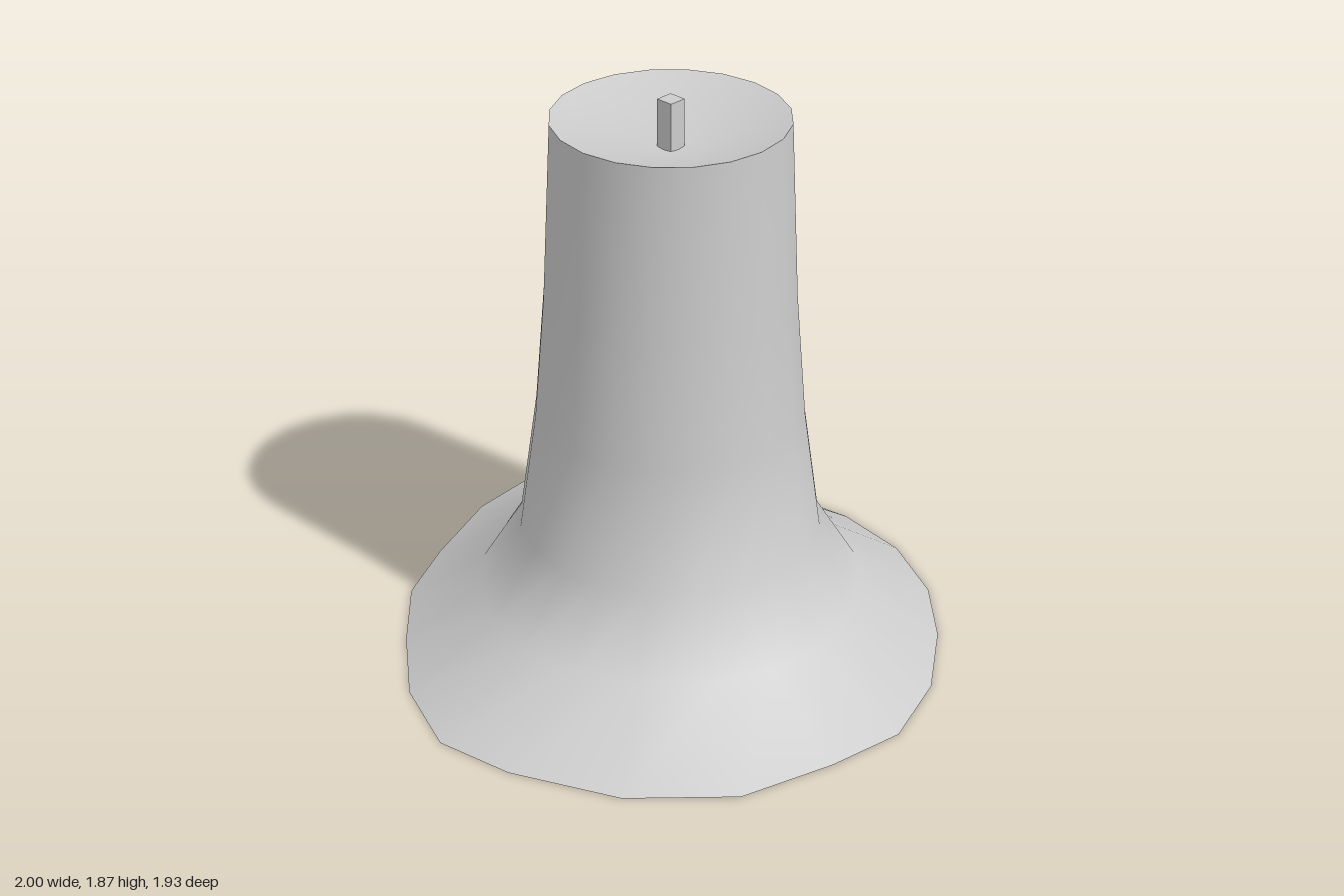
import * as THREE from 'three';

const SIDES = 20;
const CX = -0.005, CZ = -0.08; // axis of the candle

// Irregular outline of the melted wax pool, clockwise from the back (x, z)
const POOL = [
  [0, -0.97], [0.27, -0.93], [0.52, -0.8], [0.72, -0.61], [0.9, -0.36],
  [1, -0.08], [0.96, 0.19], [0.87, 0.51], [0.615, 0.77], [0.27, 0.92],
  [0, 0.96], [-0.28, 0.84], [-0.52, 0.64], [-0.73, 0.43], [-0.85, 0.19],
  [-0.97, -0.12], [-1, -0.44], [-0.87, -0.68], [-0.6, -0.845], [-0.28, -0.93],
];

// Horizontal ring: a circle blended towards the pool outline by "spread"
function ring(y, radius, spread = 0) {
  return POOL.map(([px, pz], i) => {
    const a = (i / SIDES) * Math.PI * 2;
    const x = CX + Math.sin(a) * radius, z = CZ - Math.cos(a) * radius;
    return [x + (px - x) * spread, y, z + (pz - z) * spread];
  });
}

function surface(points, index) {
  const geometry = new THREE.BufferGeometry();
  geometry.setAttribute('position', new THREE.Float32BufferAttribute(points.flat(), 3));
  geometry.setIndex(index);
  geometry.computeVertexNormals();
  return geometry;
}

// Smooth skin through a stack of rings, bottom to top
function loft(rings) {
  const index = [];
  for (let r = 0; r < rings.length - 1; r++) {
    for (let i = 0; i < SIDES; i++) {
      const a = r * SIDES + i, b = r * SIDES + ((i + 1) % SIDES);
      index.push(a, a + SIDES, b, b, a + SIDES, b + SIDES);
    }
  }
  return surface(rings.flat(), index);
}

// Fan from a ring to a centre height
function fan(points, y, faceUp) {
  const index = [];
  for (let i = 0; i < SIDES; i++) {
    const j = (i + 1) % SIDES;
    index.push(...(faceUp ? [j, i, SIDES] : [i, j, SIDES]));
  }
  return surface([...points, [CX, y, CZ]], index);
}

export function createModel() {
  const group = new THREE.Group();
  group.name = 'candle';
  const material = new THREE.MeshStandardMaterial({ color: 0xcccccc });
  const add = (name, geometry) => {
    const mesh = new THREE.Mesh(geometry, material);
    mesh.name = name;
    group.add(mesh);
    return mesh;
  };

  // Wax body flaring into the melted pool
  const rings = [
    ring(0, 0.495, 1),
    ring(0.175, 0.495, 0.335),
    ring(0.39, 0.495),
    ring(0.8, 0.438),
    ring(1.22, 0.405),
    ring(1.81, 0.379),
  ];
  add('waxBody', loft(rings));
  add('underside', fan(rings[0], 0, false));

  // Sunken top around the wick
  add('meltedTop', fan(rings[rings.length - 1], 1.7, true));

  // Square wick standing in the hollow
  add('wick', new THREE.BoxGeometry(0.06, 0.18, 0.06)).position.set(CX, 1.78, CZ);

  return group;
}
